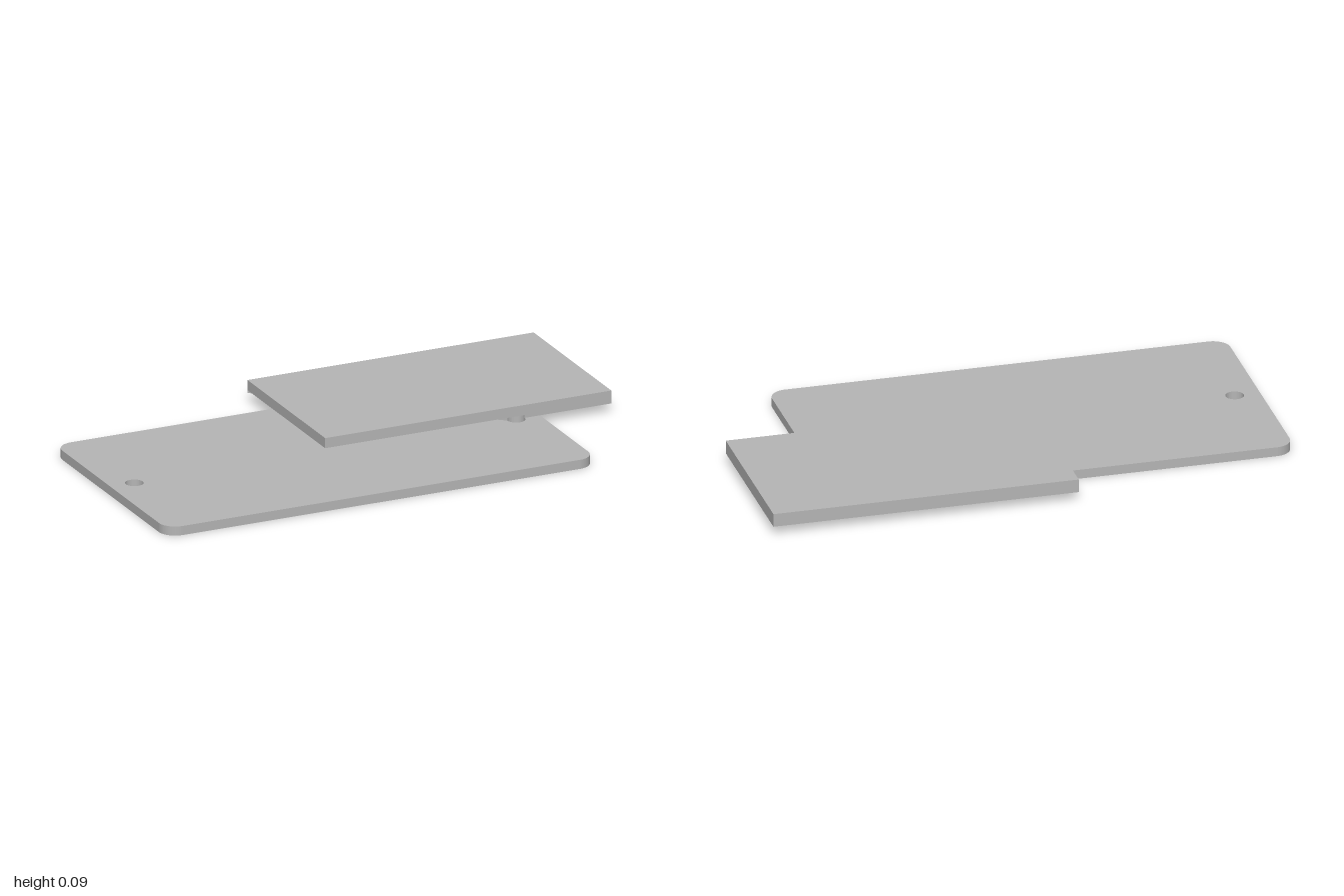
import * as THREE from 'three';

const PLATE_TOP = 0.035, BLOCK_TOP = 0.085, RELIEF = 0.011;
const HOLE_R = 0.034, HOLE_Z = 0.092;

// Extrude a plan outline (drawn in x, -z) upward from y0 by h
function slab(shape, y0, h, material, name) {
  const geo = new THREE.ExtrudeGeometry(shape, { depth: h, bevelEnabled: false, curveSegments: 16 });
  geo.rotateX(-Math.PI / 2);
  geo.translate(0, y0, 0);
  const mesh = new THREE.Mesh(geo, material);
  mesh.name = name;
  return mesh;
}

export function createModel() {
  const group = new THREE.Group();
  group.name = 'plateAndBlock';
  const grey = new THREE.MeshStandardMaterial({ color: 0xb5b5b5 });
  grey.name = 'plain grey';

  // Base plate: rounded rectangle with two through holes
  const x0 = -1, x1 = 0.715, b0 = -0.566, b1 = 0.381, r = 0.065;
  const plate = new THREE.Shape();
  plate.absarc(x1 - r, b0 + r, r, -Math.PI / 2, 0);
  plate.absarc(x1 - r, b1 - r, r, 0, Math.PI / 2);
  plate.absarc(x0 + r, b1 - r, r, Math.PI / 2, Math.PI);
  plate.absarc(x0 + r, b0 + r, r, Math.PI, Math.PI * 1.5);
  plate.closePath();
  for (const x of [-0.905, 0.62]) {
    plate.holes.push(new THREE.Path().absarc(x, -HOLE_Z, HOLE_R, 0, Math.PI * 2, true));
  }
  group.add(slab(plate, 0, PLATE_TOP, grey, 'basePlate'));

  // Block underside layer, relieved by a half-round notch above the hole
  const left = -0.143, right = 1, front = -HOLE_Z, back = 0.566;
  const lower = new THREE.Shape();
  lower.moveTo(left, front);
  lower.absarc(0.62, front, HOLE_R, Math.PI, 0, true);
  lower.lineTo(right, front);
  lower.lineTo(right, back);
  lower.lineTo(left, back);
  lower.closePath();
  group.add(slab(lower, PLATE_TOP, RELIEF, grey, 'blockUnderside'));

  // Main body of the block
  const h = BLOCK_TOP - PLATE_TOP - RELIEF;
  const block = new THREE.Mesh(new THREE.BoxGeometry(right - left, h, back - front), grey);
  block.position.set((left + right) / 2, BLOCK_TOP - h / 2, -(front + back) / 2);
  block.name = 'block';
  group.add(block);

  return group;
}
